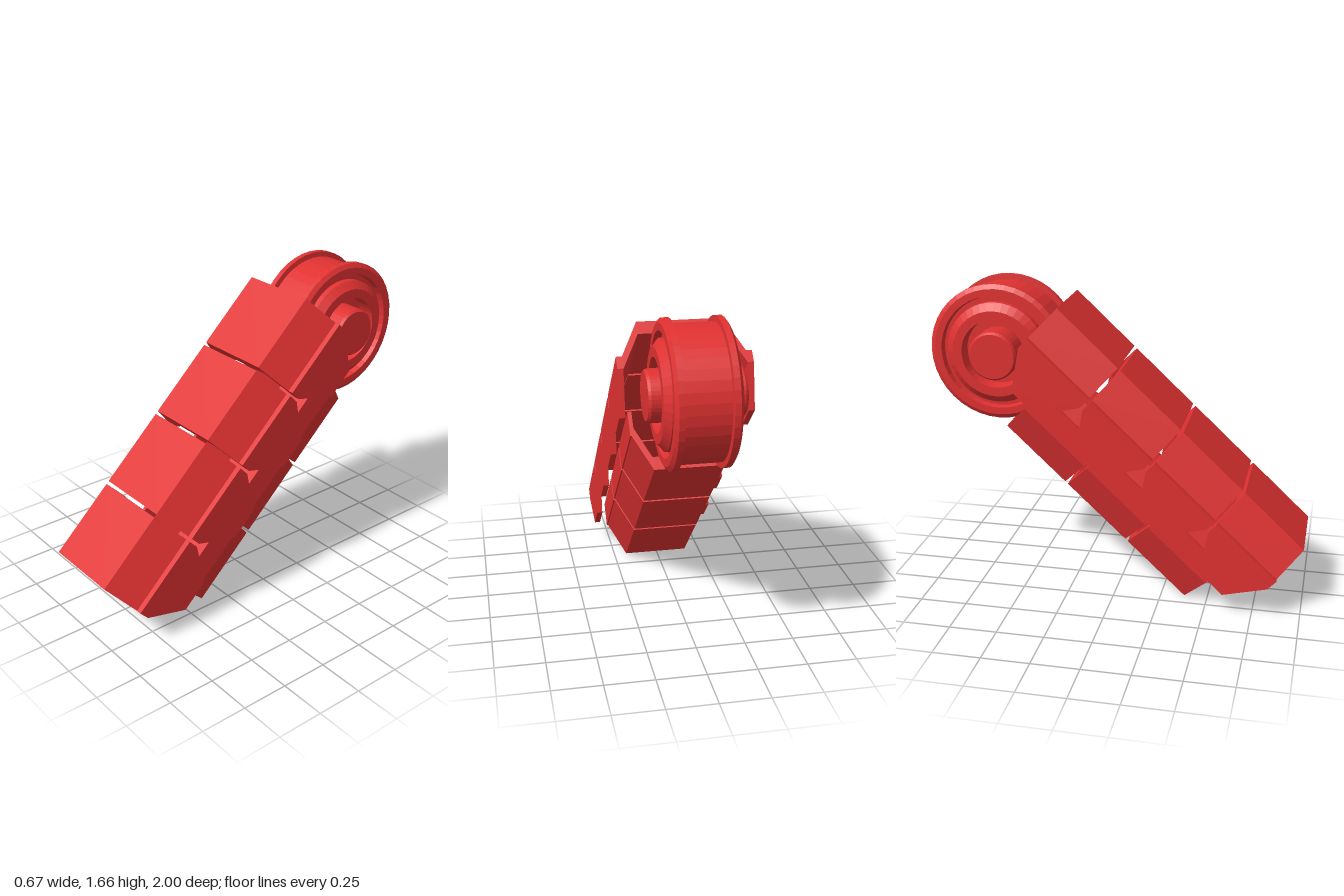
import * as THREE from 'three';

const PITCH = 0.4475, LENGTH = 0.429;

export function createModel() {
  const red = new THREE.MeshStandardMaterial({ color: 0xe03131, flatShading: true });
  red.name = 'red';
  const model = new THREE.Group();
  model.name = 'armouredArm';

  const add = (parent, geometry, name) => {
    const mesh = new THREE.Mesh(geometry, red);
    mesh.name = name;
    parent.add(mesh);
  };
  const shapeOf = (points) => new THREE.Shape(points.map(([a, b]) => new THREE.Vector2(a, b)));

  // Bent armour shell: half cross-section is mirrored, then extruded along the arm
  const shell = (half) => {
    const mirrored = half.map(([x, y]) => [-x, y]).reverse();
    return new THREE.ExtrudeGeometry(shapeOf([...half, ...mirrored]), { depth: LENGTH, bevelEnabled: false })
      .translate(0, 0, -LENGTH);
  };
  // Side plate: outline of [distance along arm, depth below top], placed between two x values
  const sidePlate = (outline, x0, x1) =>
    new THREE.ExtrudeGeometry(shapeOf(outline.map(([u, w]) => [-u, -w])), { depth: x1 - x0, bevelEnabled: false })
      .rotateY(-Math.PI / 2).translate(x1, 0, 0);

  // Arm frame: local -z runs up the arm, local y points out of its upper face
  const arm = new THREE.Group();
  arm.name = 'arm';
  arm.position.set(0, 0.36, 1);
  arm.rotation.x = 0.753;
  model.add(arm);

  // Upper armour with pointed side flaps
  const upperShell = shell([[0.215, 0], [0.305, -0.185], [0.305, -0.252], [0.215, -0.068]].slice(0, 3).concat([[0.215, -0.068]]));
  const flap = [[0, 0.185], [0, 0.25], [0.13, 0.45], [0.3, 0.45], [LENGTH, 0.25], [LENGTH, 0.185]];
  for (let i = 0; i < 4; i++) {
    const segment = new THREE.Group();
    segment.name = 'upperSegment' + (i + 1);
    segment.position.z = -i * PITCH;
    add(segment, upperShell, 'upperShell');
    add(segment, sidePlate(flap, 0.305, 0.335), 'leftFlap');
    add(segment, sidePlate(flap, -0.335, -0.305), 'rightFlap');
    arm.add(segment);
  }

  // Lower armour with narrow side strips
  const lowerShell = shell([[0.175, -0.617], [0.263, -0.432], [0.263, -0.5], [0.175, -0.685]]);
  const strip = [[0, 0.37], [0, 0.5], [LENGTH, 0.5], [LENGTH, 0.37]];
  for (let i = 0; i < 3; i++) {
    const segment = new THREE.Group();
    segment.name = 'lowerSegment' + (i + 1);
    segment.position.set(0.006, 0, -0.213 - i * PITCH);
    add(segment, lowerShell, 'lowerShell');
    add(segment, sidePlate(strip, 0.25, 0.27), 'leftStrip');
    add(segment, sidePlate(strip, -0.27, -0.25), 'rightStrip');
    arm.add(segment);
  }

  // Wheel: half profile [radius, offset] from hub to drum, mirrored and lathed
  const half = [
    [0, 0.235], [0.118, 0.235], [0.128, 0.222], [0.128, 0.1], [0.176, 0.1], [0.18, 0.185],
    [0.228, 0.185], [0.267, 0.152], [0.267, 0.12], [0.294, 0.12], [0.3, 0.155], [0.337, 0.155],
    [0.36, 0.14], [0.36, 0.11], [0.332, 0.108],
  ];
  const profile = [...half.map(([r, x]) => [r, -x]), ...half.slice().reverse()]
    .map(([r, x]) => new THREE.Vector2(r, x));
  const wheel = new THREE.Group();
  wheel.name = 'wheel';
  wheel.position.set(0, 1.303, -0.638);
  add(wheel, new THREE.LatheGeometry(profile, 40).rotateZ(-Math.PI / 2), 'wheelAndHub');
  model.add(wheel);

  return model;
}
